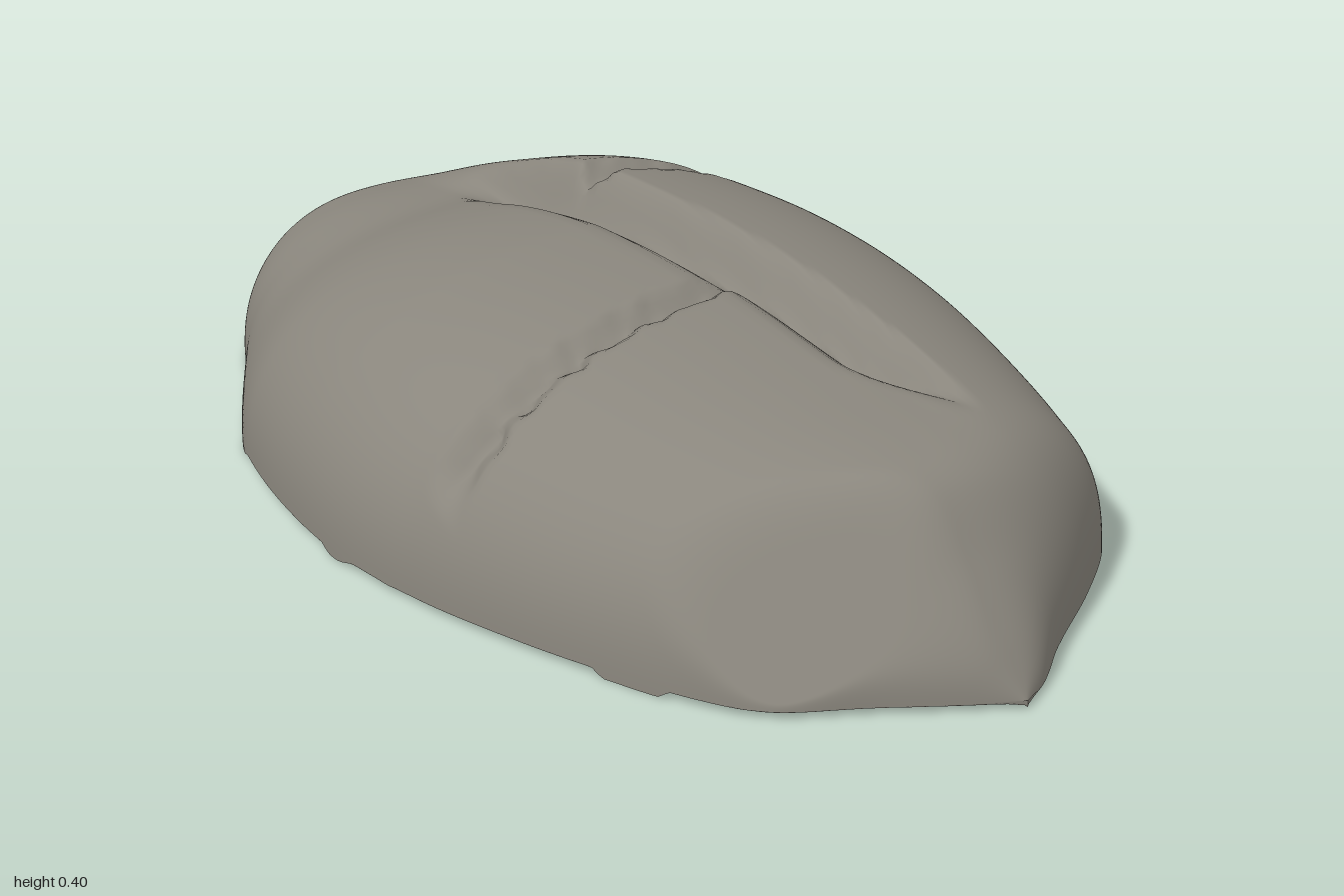
import * as THREE from 'three';

// [x, value] profiles along the length
const BACK = [[-1, -.02], [-.95, -.14], [-.88, -.26], [-.8, -.36], [-.6, -.47], [-.4, -.55], [-.2, -.598], [0, -.598],
  [.2, -.57], [.4, -.52], [.6, -.45], [.7, -.4], [.8, -.28], [.9, -.13], [.97, -.04], [1, .02]];
const FRONT = [[-1, -.02], [-.95, .07], [-.86, .24], [-.7, .35], [-.5, .48], [-.4, .53], [-.2, .58], [0, .6],
  [.2, .58], [.4, .53], [.55, .48], [.7, .42], [.8, .35], [.88, .22], [.95, .11], [1, .02]];
const HEIGHT = [[-1, .01], [-.96, .12], [-.9, .19], [-.8, .24], [-.6, .325], [-.4, .392], [-.2, .405], [0, .41],
  [.2, .4], [.4, .375], [.7, .335], [.8, .3], [.88, .2], [.95, .1], [1, .01]];

// Smooth curve through a profile
function sample(profile, x) {
  const n = profile.length - 1;
  let i = 0;
  while (i < n - 1 && x > profile[i + 1][0]) i++;
  const slope = (k) => {
    const [a, b] = [profile[Math.max(0, k - 1)], profile[Math.min(n, k + 1)]];
    return (b[1] - a[1]) / (b[0] - a[0]);
  };
  const [a, b] = [profile[i], profile[i + 1]];
  const h = b[0] - a[0], u = (x - a[0]) / h, v = 1 - u;
  return v * v * (1 + 2 * u) * a[1] + u * u * (1 + 2 * v) * b[1] + h * u * v * (v * slope(i) - u * slope(i + 1));
}
const step = THREE.MathUtils.smoothstep;
// 1 inside the span lo..hi, fading out over f at both ends
const span = (v, lo, hi, f) => step(v, lo - f, lo) * (1 - step(v, hi, hi + f));
const notch = (d, w) => Math.max(0, 1 - Math.abs(d) / w);
const wobble = (v) => .5 + .3 * Math.sin(v * 71) + .2 * Math.sin(v * 113 + 1);
// minimum with a rounded transition of width k
function softMin(a, b, k) {
  const h = Math.max(0, k - Math.abs(a - b)) / k;
  return Math.min(a, b) - h * h * k / 4;
}

// Depth of the three cracks at a point of the top
function crackDepth(x, z) {
  const d = z - (-.125 - .03 * x), taper = span(x, -.42, .42, .27), wide = .4 + .6 * taper;
  const long = (d > 0 ? Math.pow(notch(d, .11 * wide), 1.4) : notch(d, .045 * wide)) * .085 * taper;
  const front = notch(x - .15 - .1 * z - .012 * wobble(z), .045) * (.03 + .015 * wobble(z)) * span(z, -.06, .5, .05);
  const back = notch(x + .365 + .12 * (z + .1) - .01 * wobble(z), .045) * (.035 + .015 * wobble(z)) * span(z, -.46, -.14, .08);
  return Math.max(long, front, back);
}

function shellPoint(t, a) {
  const x = .65 * t + .35 * Math.sin(t * Math.PI / 2);
  const f = sample(FRONT, x), b = sample(BACK, x);
  const c = Math.cos(a), s = Math.max(0, Math.sin(a)), p = 2 / 2.4;
  let z = (f + b) / 2 + (f - b) / 2 * Math.sign(c) * Math.abs(c) ** p;
  // the front half sits lower than the back, most of all left of its crack
  const left = (1 - step(x, .13, .2)) * .012 + .03 * span(x, -.55, -.45, .3);
  const drop = step(z, -.16, -.06) * (.012 + left) * span(x, -.6, .5, .3);
  let y = Math.max(0, sample(HEIGHT, x) - drop) * s ** p;
  // sloping facet at the right front end
  y = Math.max(0, softMin(y, 1.7 * (.85 - .77 * x - .63 * z), .05));
  const depth = crackDepth(x, z) * Math.min(1, y / .15);
  y -= depth * s;
  z -= depth * c * .8;
  // ragged rim
  const rim = .004 + .014 * step(Math.sin(x * 13 + z * 7) + .4 * Math.sin(x * 29), -1, -.6);
  return [x, Math.max(y, rim * (1 - s)), z];
}

function createShell() {
  const nx = 200, na = 150, pos = [], index = [];
  for (let i = 0; i <= nx; i++) {
    for (let j = 0; j <= na; j++) pos.push(...shellPoint(i / nx * 2 - 1, j / na * Math.PI));
  }
  for (let i = 0; i < nx; i++) {
    for (let j = 0; j < na; j++) {
      const p = i * (na + 1) + j, q = p + na + 1;
      index.push(p, q, p + 1, q, q + 1, p + 1);
    }
  }
  const g = new THREE.BufferGeometry();
  g.setAttribute('position', new THREE.Float32BufferAttribute(pos, 3));
  g.setIndex(index);
  g.computeVertexNormals();
  return g;
}

export function createModel() {
  const group = new THREE.Group();
  group.name = 'crackedRock';
  // Hollow shell, open underneath
  const shell = new THREE.Mesh(createShell(),
    new THREE.MeshStandardMaterial({ color: 0x8a867d, side: THREE.DoubleSide }));
  shell.name = 'rockShell';
  group.add(shell);
  return group;
}
